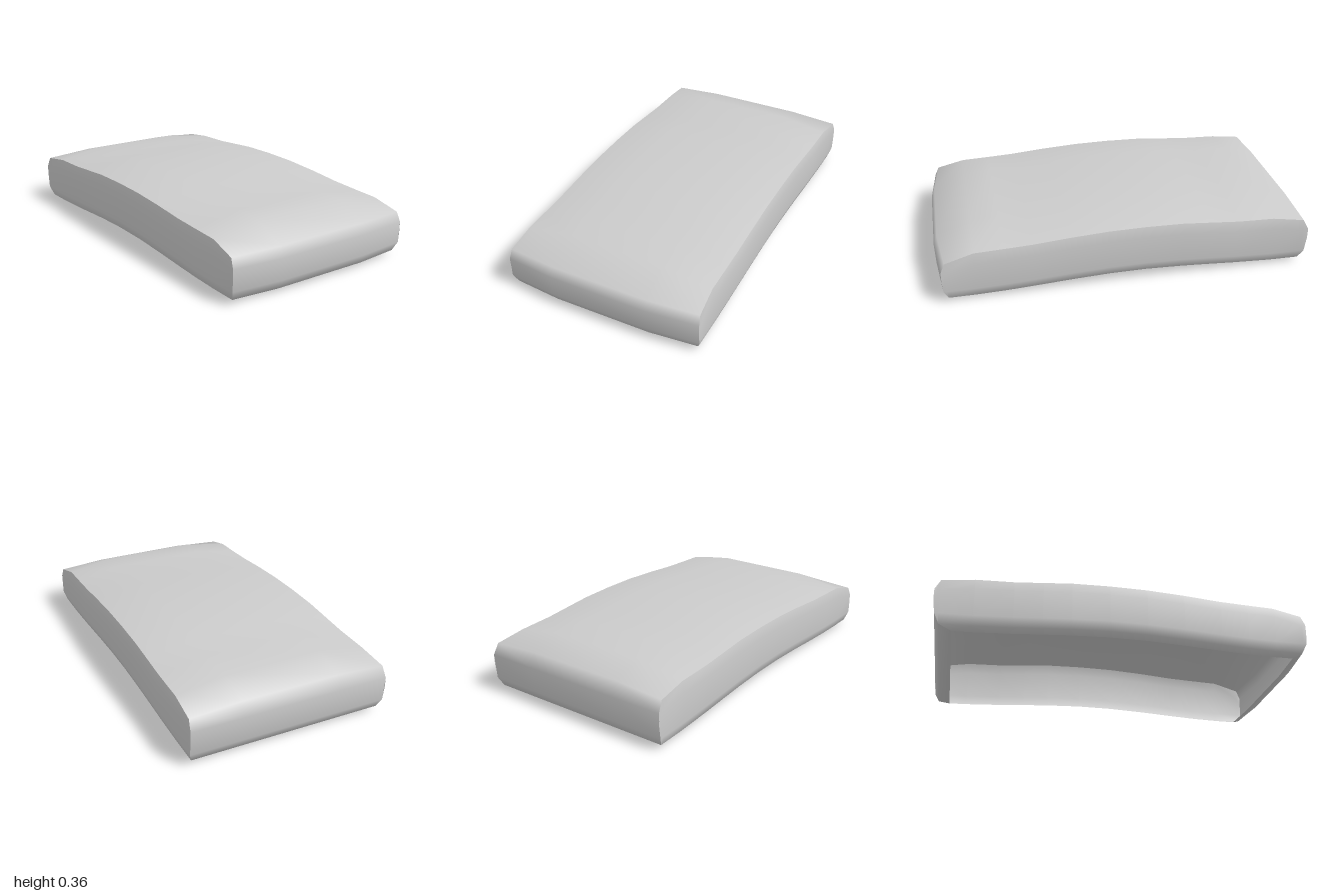
import * as THREE from 'three';

// Rows running front to back over the shell: [z, crown y, drop at the sides, half width, forward bulge]
const FRONT_LIP = [[0.9, 0, 0, 0.5, 0.015], [0.945, 0.02, 0, 0.53, 0.025], [0.968, 0.07, 0, 0.547, 0.028]];
const TOP = [
  [0.972, 0.185, 0, 0.547, 0.028], [0.95, 0.24, 0.005, 0.542, 0.03],
  [0.8, 0.317, 0.042, 0.533, 0], [0.65, 0.323, 0.042, 0.533, 0], [0.5, 0.33, 0.042, 0.533, 0],
  [0.3, 0.347, 0.042, 0.533, 0], [0.1, 0.359, 0.042, 0.533, 0], [-0.1, 0.362, 0.042, 0.533, 0],
  [-0.3, 0.358, 0.042, 0.533, 0], [-0.45, 0.346, 0.042, 0.533, 0], [-0.6, 0.334, 0.042, 0.533, 0],
  [-0.8, 0.328, 0.042, 0.533, 0], [-0.97, 0.28, 0.018, 0.542, 0], [-1, 0.205, 0, 0.547, 0],
];
const BACK_LIP = [[-0.99, 0.07, 0, 0.547, 0], [-0.965, 0.02, 0, 0.53, 0], [-0.9, 0, 0, 0.5, 0]];

// Arch of the bottom edge
const arch = (z) => Math.abs(z) >= 0.9 ? 0 : 0.037 * Math.cos((Math.PI / 2) * Math.min(1, Math.abs(z + 0.04) / 0.9)) ** 2;

// Smooth sheet from rows of points
function sheet(name, rows, material) {
  const n = rows[0].length;
  const index = [];
  for (let i = 0; i < rows.length - 1; i++) {
    for (let j = 0; j < n - 1; j++) {
      const a = i * n + j;
      index.push(a, a + 1, a + n, a + 1, a + n + 1, a + n);
    }
  }
  const geometry = new THREE.BufferGeometry();
  geometry.setAttribute('position', new THREE.Float32BufferAttribute(rows.flat(2), 3));
  geometry.setIndex(index);
  geometry.computeVertexNormals();
  const mesh = new THREE.Mesh(geometry, material);
  mesh.name = name;
  return mesh;
}

export function createModel() {
  const group = new THREE.Group();
  group.name = 'curvedCover';
  const material = new THREE.MeshStandardMaterial({ color: 0xcccccc, side: THREE.DoubleSide });

  // Top with both rolled ends, flat in the middle and falling away to the sides
  const strip = [...FRONT_LIP, ...TOP, ...BACK_LIP].map(([z, y, drop, w, bulge]) => [
    [-w, y - drop, z], [-0.27, y, z + bulge], [0.27, y, z + bulge], [w, y - drop, z],
  ]);
  group.add(sheet('topAndEnds', strip, material));

  // Side walls, chamfered at the top and rolled inward at the bottom
  for (const side of [1, -1]) {
    const rows = TOP.map(([z, y, drop, w]) => {
      const edge = y - drop;
      const column = [[side * w, edge, z], [side * 0.547, edge - 0.055, z]];
      for (let k = 2; k >= 0; k--) {
        const [front, level, , width] = FRONT_LIP[k];
        const zk = THREE.MathUtils.clamp(z, BACK_LIP[2 - k][0], front);
        column.push([side * width, level + arch(zk), zk]);
      }
      return side > 0 ? column : column.reverse();
    });
    group.add(sheet(side > 0 ? 'leftWall' : 'rightWall', rows, material));
  }
  return group;
}
